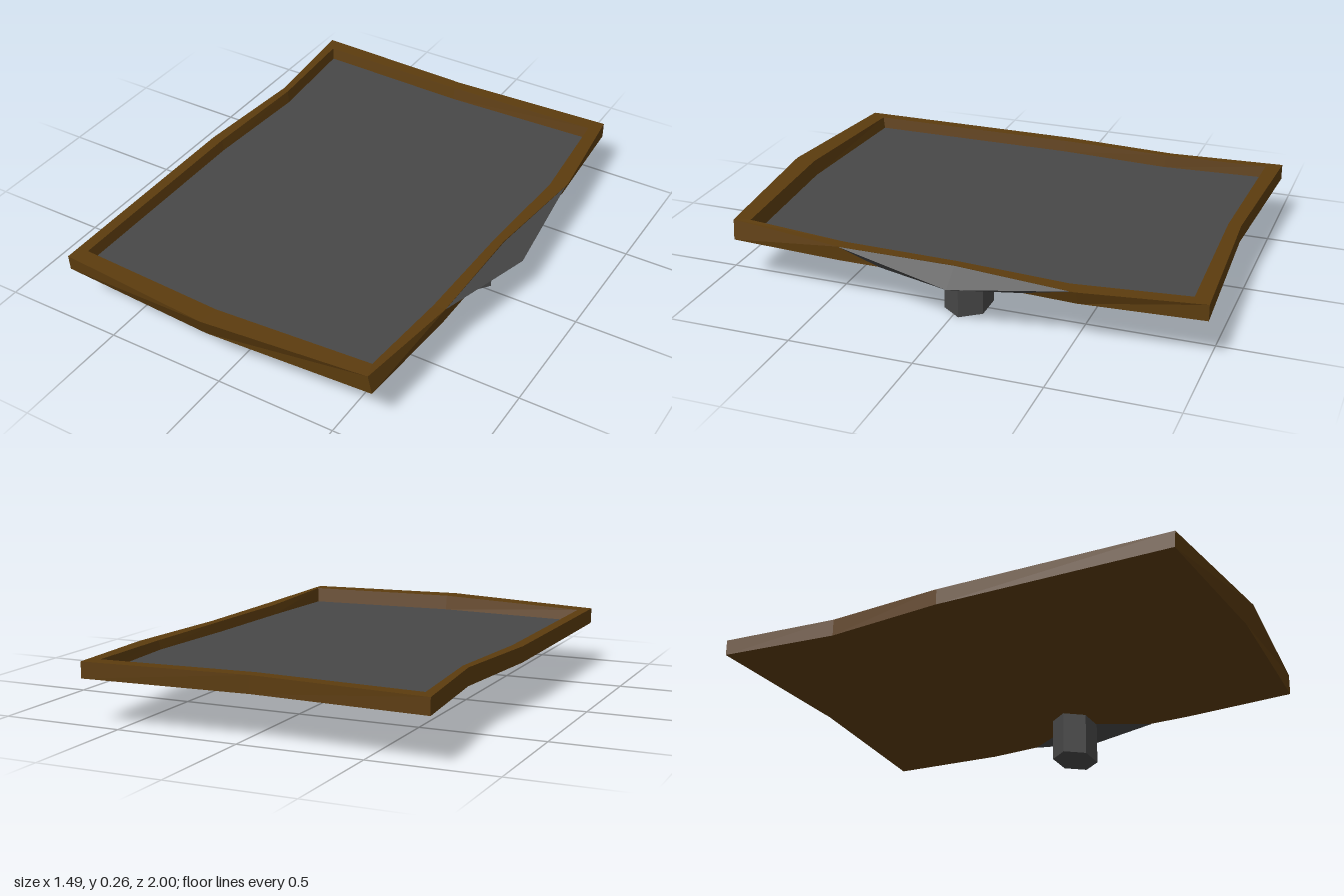
import * as THREE from 'three';

const wood = new THREE.MeshStandardMaterial({ color: 0x5c3c0e });
wood.name = 'brown wood';
const slate = new THREE.MeshStandardMaterial({ color: 0x484848 });
slate.name = 'dark grey';

// Faceted mesh from a list of polygons (each a list of [x, y, z], split as a fan)
function facetMesh(name, polygons, material) {
  const pos = [];
  for (const p of polygons) {
    for (let i = 1; i < p.length - 1; i++) pos.push(...p[0], ...p[i], ...p[i + 1]);
  }
  const geo = new THREE.BufferGeometry();
  geo.setAttribute('position', new THREE.Float32BufferAttribute(pos, 3));
  geo.computeVertexNormals();
  const mesh = new THREE.Mesh(geo, material);
  mesh.name = name;
  return mesh;
}

// Quads between two closed rings, and a fan closing one ring
const band = (a, b) => a.map((p, i) => {
  const j = (i + 1) % a.length;
  return [p, a[j], b[j], b[i]];
});
const cap = (ring, centre, up) => ring.map((p, i) => {
  const q = ring[(i + 1) % ring.length];
  return up ? [centre, p, q] : [centre, q, p];
});

export function createModel() {
  const group = new THREE.Group();
  group.name = 'tray';

  // Stations round the rim: outer top x, y, z; outer bottom x, z; inner x, z
  const stations = [
    [-0.745, 0.245, 0.935, -0.745, 0.93, -0.70, 0.87],
    [-0.07, 0.26, 0.997, -0.07, 0.965, -0.06, 0.91],
    [0.605, 0.26, 0.93, 0.62, 0.925, 0.585, 0.865],
    [0.655, 0.24, 0.45, 0.65, 0.45, 0.605, 0.45],
    [0.655, 0.24, -0.03, 0.655, -0.03, 0.617, -0.03],
    [0.705, 0.235, -0.52, 0.685, -0.52, 0.642, -0.48],
    [0.655, 0.245, -1, 0.655, -1, 0.61, -0.935],
    [-0.04, 0.25, -0.967, -0.04, -0.965, -0.04, -0.915],
    [-0.745, 0.245, -1, -0.745, -1, -0.70, -0.935],
    [-0.70, 0.25, -0.52, -0.70, -0.52, -0.67, -0.5],
    [-0.745, 0.245, -0.03, -0.745, -0.03, -0.70, -0.03],
  ];
  const floorY = 0.197;
  const outerTop = stations.map((s) => [s[0], s[1], s[2]]);
  const outerBottom = stations.map((s) => [s[3], 0.18, s[4]]);
  const innerTop = stations.map((s) => [s[5], s[1], s[6]]);
  const innerBottom = stations.map((s) => [s[5] * 0.99, floorY, s[6] * 0.99]);

  // Raised rim with its underside
  group.add(facetMesh('frame', [
    ...band(outerBottom, outerTop),
    ...band(outerTop, innerTop),
    ...band(innerTop, innerBottom),
    ...cap(outerBottom, [-0.03, 0.18, 0], false),
  ], wood));

  // Sunken panel
  group.add(facetMesh('panel', cap(innerBottom, [-0.03, floorY, 0], true), slate));

  // Pointed lip sloping out from the left edge
  const tip = [0.742, 0.178, -0.03];
  const topFront = [0.655, 0.239, 0.45];
  const topMid = [0.657, 0.239, -0.03];
  const topBack = [0.703, 0.234, -0.5];
  const lowFront = [0.652, 0.179, 0.28];
  const lowBack = [0.672, 0.179, -0.3];
  group.add(facetMesh('lip', [
    [tip, topMid, topFront],
    [tip, topBack, topMid],
    [tip, topFront, lowFront],
    [tip, lowBack, topBack],
    [tip, lowFront, [0.5, 0.179, -0.03], lowBack],
  ], slate));

  // Six-sided post, flattened front to back
  const postGeo = new THREE.CylinderGeometry(1, 1, 0.187, 6).rotateY(Math.PI / 6)
    .scale(0.12, 1, 0.092).toNonIndexed();
  postGeo.computeVertexNormals();
  const post = new THREE.Mesh(postGeo, slate);
  post.name = 'post';
  post.position.set(0.495, 0.0935, -0.025);
  group.add(post);

  return group;
}
